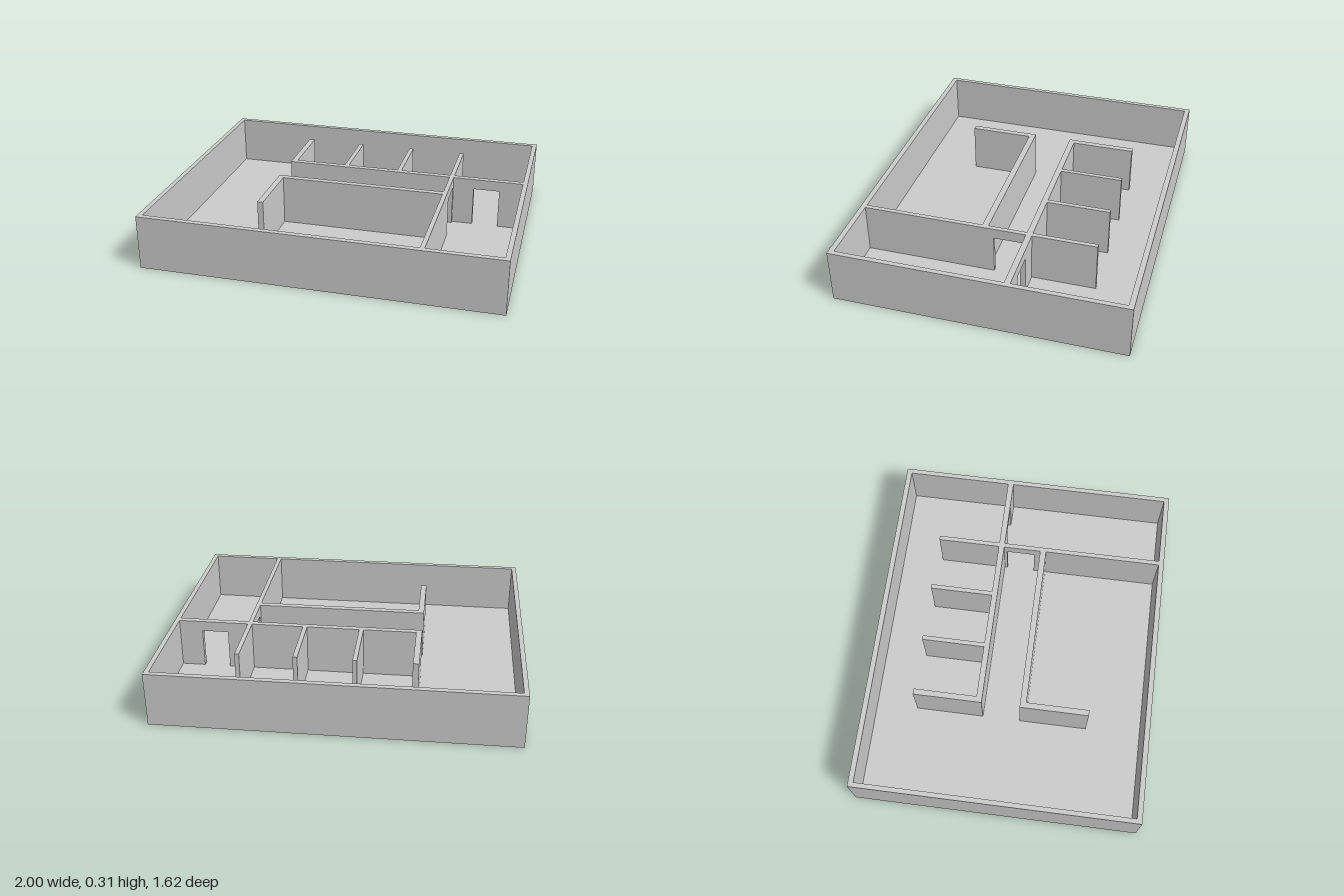
import * as THREE from 'three';

const FLOOR = 0.025, TOP = 0.31, DOOR_TOP = 0.25;
const HALF_X = 1, HALF_Z = 0.81, IN_X = 0.973, IN_Z = 0.78;

export function createModel() {
  const model = new THREE.Group();
  const material = new THREE.MeshStandardMaterial({ color: 0xcccccc, flatShading: true });

  // Box given by its extents on each axis
  function block(name, x0, x1, z0, z1, y0 = FLOOR, y1 = TOP, parent = model) {
    const mesh = new THREE.Mesh(new THREE.BoxGeometry(x1 - x0, y1 - y0, z1 - z0), material);
    mesh.position.set((x0 + x1) / 2, (y0 + y1) / 2, (z0 + z1) / 2);
    mesh.name = name;
    parent.add(mesh);
  }

  // Wall with a doorway: two side pieces and a lintel; d0..d1 is the opening
  function doorWall(name, x0, x1, z0, z1, d0, d1, alongX) {
    const wall = new THREE.Group();
    wall.name = name;
    const piece = (part, a, b, y0) => alongX
      ? block(part, a, b, z0, z1, y0, TOP, wall)
      : block(part, x0, x1, a, b, y0, TOP, wall);
    piece('wallBeforeDoor', alongX ? x0 : z0, d0, FLOOR);
    piece('wallAfterDoor', d1, alongX ? x1 : z1, FLOOR);
    piece('lintel', d0, d1, DOOR_TOP);
    model.add(wall);
  }

  // Floor slab
  block('floor', -HALF_X, HALF_X, -HALF_Z, HALF_Z, 0, FLOOR);

  // Outer walls as one ring
  const rect = (P, x, z) => {
    const p = new P();
    p.moveTo(-x, -z).lineTo(x, -z).lineTo(x, z).lineTo(-x, z).closePath();
    return p;
  };
  const ring = rect(THREE.Shape, HALF_X, HALF_Z);
  ring.holes.push(rect(THREE.Path, IN_X, IN_Z));
  const ringGeo = new THREE.ExtrudeGeometry(ring, { depth: TOP - FLOOR, bevelEnabled: false });
  ringGeo.rotateX(-Math.PI / 2).translate(0, FLOOR, 0);
  const outer = new THREE.Mesh(ringGeo, material);
  outer.name = 'outerWalls';
  model.add(outer);

  // Corridor walls; the rear one continues past the cross wall with a doorway
  block('corridorRearWall', -0.433, 0.545, -0.18, -0.147);
  block('corridorFrontWall', -0.433, 0.545, 0.07, 0.105);
  doorWall('sideRoomRearWall', 0.57, IN_X, -0.18, -0.147, 0.69, 0.84, true);

  // Cross wall closing the corridor, with a doorway at its end
  doorWall('crossWall', 0.545, 0.57, -0.18, IN_Z, -0.13, 0.035, false);

  // Stall partitions at the back
  [[-0.433, -0.4], [-0.1, -0.075], [0.225, 0.25], [0.545, 0.57]].forEach(([x0, x1], i) =>
    block('stallPartition' + (i + 1), x0, x1, -0.54, -0.18));

  // Short return wall of the front room
  block('frontRoomReturnWall', -0.433, -0.4, 0.105, 0.463);

  return model;
}
